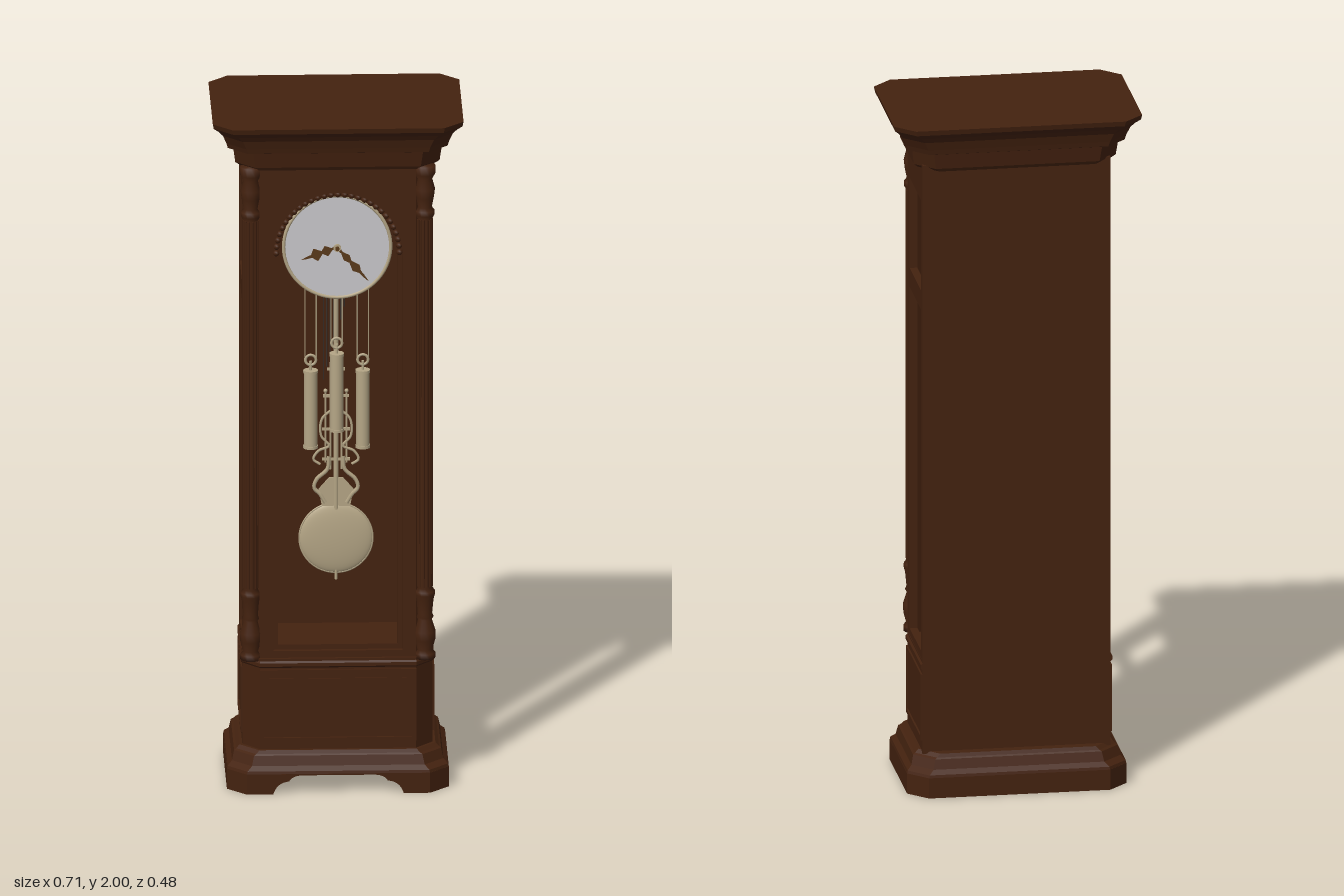
import * as THREE from 'three';

const mat = (name, color, side = THREE.FrontSide) => {
  const m = new THREE.MeshStandardMaterial({ color, side });
  m.name = name;
  return m;
};

export function createModel() {
  const wood = mat('dark wood', 0x44220f);
  const brass = mat('pale brass', 0xb5a686);
  const white = mat('dial white', 0xc9c8cc);
  const bronze = mat('hand bronze', 0x5a3a1a);
  const steel = mat('dark steel', 0x3a302a);

  const model = new THREE.Group();
  model.name = 'longcaseClock';
  const add = (name, geo, m, x = 0, y = 0, z = 0, parent = model) => {
    const mesh = new THREE.Mesh(geo, m);
    mesh.name = name;
    mesh.position.set(x, y, z);
    parent.add(mesh);
    return mesh;
  };
  const box = (name, m, w, h, d, x, y, z) => add(name, new THREE.BoxGeometry(w, h, d), m, x, y, z);
  const rod = (name, m, r, y0, y1, x, z, seg = 8) =>
    add(name, new THREE.CylinderGeometry(r, r, y1 - y0, seg), m, x, (y0 + y1) / 2, z);
  const extrude = (shape, depth) => new THREE.ExtrudeGeometry(shape, { depth, bevelEnabled: false, curveSegments: 24 });
  const poly = pts => new THREE.Shape(pts.map(p => new THREE.Vector2(...p)));
  const rect = (x0, y0, x1, y1) => poly([[x0, y0], [x1, y0], [x1, y1], [x0, y1]]);
  const tube = (name, m, pts, r, seg = 24) => add(name, new THREE.TubeGeometry(
    new THREE.CatmullRomCurve3(pts.map(p => new THREE.Vector3(...p))), seg, r, 6), m);

  // Flat-faced loft through stacked convex outlines: [[y, [[x, z], ...]], ...]
  const loft = rings => {
    const v = [];
    const put = (y, p) => v.push(p[0], y, p[1]);
    const n = rings[0][1].length;
    for (let k = 0; k < rings.length - 1; k++) {
      const [y0, a] = rings[k], [y1, b] = rings[k + 1];
      for (let i = 0; i < n; i++) {
        const j = (i + 1) % n;
        put(y0, a[i]); put(y0, a[j]); put(y1, b[j]);
        put(y0, a[i]); put(y1, b[j]); put(y1, b[i]);
      }
    }
    const [yb, bot] = rings[0], [yt, top] = rings[rings.length - 1];
    for (let i = 1; i < n - 1; i++) {
      put(yb, bot[0]); put(yb, bot[i + 1]); put(yb, bot[i]);
      put(yt, top[0]); put(yt, top[i]); put(yt, top[i + 1]);
    }
    const g = new THREE.BufferGeometry();
    g.setAttribute('position', new THREE.Float32BufferAttribute(v, 3));
    g.computeVertexNormals();
    return g;
  };
  const oct = (hx, hz, c) => [[-hx + c, hz], [hx - c, hz], [hx, hz - c], [hx, -hz + c],
    [hx - c, -hz], [-hx + c, -hz], [-hx, -hz + c], [-hx, hz - c]];
  const mould = steps => loft(steps.map(([y, hx, hz]) => [y, oct(hx, hz, 0.055)]));

  // Crown and base mouldings
  add('crown', mould([[1.855, 0.278, 0.172], [1.865, 0.29, 0.178], [1.91, 0.296, 0.186], [1.915, 0.312, 0.2],
    [1.93, 0.316, 0.204], [1.955, 0.326, 0.212], [1.97, 0.338, 0.222], [1.985, 0.353, 0.238], [2, 0.356, 0.242]]), wood);
  add('baseMoulding', mould([[0.058, 0.315, 0.215], [0.068, 0.313, 0.213], [0.08, 0.3, 0.2],
    [0.108, 0.294, 0.192], [0.112, 0.288, 0.188], [0.122, 0.278, 0.184]]), wood);

  // Skirt: a U round the sides and back, plus a cut bracket front
  const half = [[0.26, 0.215], [0.315, 0.16], [0.315, -0.16], [0.26, -0.215]];
  const inner = [[0.25, -0.195], [0.293, -0.15], [0.293, 0.15], [0.26, 0.19]];
  const flip = a => a.map(([x, z]) => [-x, z]).reverse();
  const skirt = extrude(poly([...half, ...flip(half), ...flip(inner), ...inner].map(([x, z]) => [x, -z])), 0.06);
  add('skirt', skirt.rotateX(-Math.PI / 2), wood);
  const bracket = new THREE.Shape();
  bracket.moveTo(-0.26, 0);
  bracket.lineTo(-0.185, 0);
  bracket.quadraticCurveTo(-0.175, 0.035, -0.14, 0.038);
  bracket.quadraticCurveTo(-0.13, 0.056, -0.1, 0.056);
  bracket.lineTo(0.1, 0.056);
  bracket.quadraticCurveTo(0.13, 0.056, 0.14, 0.038);
  bracket.quadraticCurveTo(0.175, 0.035, 0.185, 0);
  bracket.lineTo(0.26, 0);
  bracket.lineTo(0.26, 0.06);
  bracket.lineTo(-0.26, 0.06);
  add('bracketFoot', extrude(bracket, 0.022), wood, 0, 0, 0.193);

  // Lower cabinet with framed panels
  const plan = (e = 0) => [[-0.222, 0.174 + e], [0.222, 0.174 + e], [0.27 + e, 0.122], [0.27 + e, -0.158],
    [-0.27 - e, -0.158], [-0.27 - e, 0.122]];
  add('lowerCabinet', loft([[0.115, plan()], [0.392, plan()]]), wood);
  add('cabinetLedge', loft([[0.365, plan()], [0.37, plan(0.005)], [0.38, plan(0.005)], [0.385, plan()]]), wood);
  const frame = (x0, y0, x1, y1, w) => {
    const s = rect(x0, y0, x1, y1);
    s.holes.push(rect(x0 + w, y0 + w, x1 - w, y1 - w));
    return s;
  };
  add('frontPanelFrame', extrude(frame(-0.222, 0.145, 0.222, 0.36, 0.012), 0.006), wood, 0, 0, 0.174);
  add('frontPanel', extrude(rect(-0.195, 0.172, 0.195, 0.333), 0.003), wood, 0, 0, 0.174);

  // Back, side frames with two windows, and side panel frames
  box('backPanel', wood, 0.54, 1.5, 0.018, 0, 1.12, -0.149);
  for (const s of [-1, 1]) {
    const side = rect(-0.125, 0.385, 0.158, 1.865);
    side.holes.push(rect(-0.085, 0.412, 0.118, 1.43), rect(-0.085, 1.487, 0.118, 1.757));
    add('sideFrame', extrude(side, 0.022).rotateY(Math.PI / 2), wood, s > 0 ? 0.247 : -0.269);
    const panel = extrude(frame(-0.118, 0.155, 0.155, 0.352, 0.01), 0.005).rotateY(Math.PI / 2);
    add('sidePanelFrame', panel, wood, s > 0 ? 0.27 : -0.275);
    // Corner post behind the column
    const post = [[0.2, 0.16], [0.222, 0.16], [0.262, 0.12], [0.25, 0.1], [0.2, 0.13]];
    add('cornerPost', loft([0.385, 1.865].map(y => [y, s > 0 ? post : flip(post)])), wood);
  }

  // Turned corner columns with capital, base and plain faceted shaft
  const profile = [[0, 0.385], [0.03, 0.385], [0.03, 0.4], [0.022, 0.41], [0.03, 0.44], [0.031, 0.465], [0.02, 0.5],
    [0.025, 0.508], [0.021, 0.518], [0.025, 0.56], [0.029, 0.575], [0.029, 0.585], [0.022, 0.595], [0.021, 1.7],
    [0.028, 1.712], [0.028, 1.725], [0.02, 1.735], [0.026, 1.765], [0.029, 1.79], [0.021, 1.82],
    [0.03, 1.835], [0.03, 1.86], [0, 1.86]].map(p => new THREE.Vector2(...p));
  for (const s of [-1, 1]) {
    add('cornerColumn', new THREE.LatheGeometry(profile, 16), wood, s * 0.247, 0, 0.15);
    for (let i = 0; i < 9; i++) {
      const a = i / 8 * Math.PI * 1.25 - Math.PI * 0.375;
      rod('columnReed', wood, 0.004, 0.6, 1.7, s * (0.247 + Math.sin(a) * 0.02), 0.15 + Math.cos(a) * 0.02, 6);
    }
  }

  // Arched front door, inner lip and beads round the arch
  const arch = (r, y0, C = THREE.Path) => {
    const p = new C();
    p.moveTo(-r, y0);
    p.lineTo(r, y0);
    p.lineTo(r, 1.6);
    p.absarc(0, 1.6, r, 0, Math.PI, false);
    p.lineTo(-r, y0);
    return p;
  };
  const door = rect(-0.222, 0.392, 0.222, 1.865);
  door.holes.push(arch(0.183, 0.412));
  add('doorFrame', extrude(door, 0.035), wood, 0, 0, 0.13);
  const lip = arch(0.184, 0.411, THREE.Shape);
  lip.holes.push(arch(0.169, 0.427));
  add('doorLip', extrude(lip, 0.02), wood, 0, 0, 0.132);
  for (let i = 0; i <= 28; i++) {
    const a = i / 28 * Math.PI;
    add('archBead', new THREE.SphereGeometry(0.009, 8, 6), wood, Math.cos(a) * 0.175, 1.6 + Math.sin(a) * 0.175, 0.152);
  }

  // Dial, bezel and movement
  const disc = (r, d) => new THREE.CylinderGeometry(r, r, d, 48).rotateX(Math.PI / 2);
  add('dialBack', disc(0.156, 0.008), brass, 0, 1.6, 0.092);
  add('dialFace', disc(0.15, 0.004), white, 0, 1.6, 0.097);
  add('bezel', new THREE.TorusGeometry(0.152, 0.005, 8, 64), brass, 0, 1.6, 0.098);
  box('movement', brass, 0.16, 0.145, 0.06, 0, 1.6, 0.058);
  rod('handArbor', bronze, 0.006, 0, 0.03, 0, 0).geometry.rotateX(Math.PI / 2);
  model.children[model.children.length - 1].position.set(0, 1.6, 0.108);
  add('handHub', disc(0.011, 0.006), brass, 0, 1.6, 0.111);

  // Pierced-style hands: tapering blade with leaf swellings
  const hand = (name, len, w, angle, z) => {
    const right = [[0.006, 0], [0.003, 0.15], [w, 0.3], [0.004, 0.42], [w * 1.2, 0.6], [0.004, 0.72], [0.003, 0.85]];
    const pts = [...right, [0, 1], ...flip(right)].map(([x, t]) => [x, t * len]);
    add(name, extrude(poly(pts), 0.003), bronze, 0, 1.6, z).rotation.z = angle;
  };
  hand('hourHand', 0.108, 0.016, 1.92, 0.103);
  hand('minuteHand', 0.135, 0.011, -2.42, 0.107);

  // Weights with pulleys and cables
  for (const [x, dy] of [[-0.074, 0], [0, 0.05], [0.074, 0]]) {
    rod('weight', brass, 0.019, 0.985 + dy, 1.215 + dy, x, 0.06, 24);
    for (const y of [0.985, 1.21]) rod('weightCap', brass, 0.021, y + dy, y + dy + 0.008, x, 0.06, 24);
    rod('weightHook', brass, 0.004, 1.2 + dy, 1.245 + dy, x, 0.06);
    add('pulley', new THREE.TorusGeometry(0.015, 0.004, 6, 20), brass, x, 1.248 + dy, 0.06);
    for (const s of [-1, 1]) rod('cable', brass, 0.002, 1.25 + dy, 1.54, x + s * 0.016, 0.06, 6);
  }

  // Pendulum: rod, lyre frame, scrolls and bob
  rod('pendulumRod', brass, 0.007, 0.78, 1.56, 0, 0);
  for (const s of [-1, 1]) {
    rod('lyreRod', brass, 0.003, 0.9, 1.22, s * 0.016, 0, 6);
    rod('lyreRod', brass, 0.003, 0.92, 1.13, s * 0.03, 0, 6);
    add('lyreFinial', new THREE.SphereGeometry(0.006, 10, 8), brass, s * 0.03, 1.135, 0);
    tube('lyreScroll', brass, [[s * 0.01, 1.08, 0], [s * 0.04, 1.05, 0], [s * 0.042, 1.0, 0], [s * 0.02, 0.97, 0],
      [s * 0.05, 0.955, 0], [s * 0.064, 0.93, 0], [s * 0.045, 0.915, 0]], 0.004, 40);
    tube('lowerScroll', brass, [[s * 0.02, 0.94, 0], [s * 0.025, 0.9, 0], [s * 0.055, 0.87, 0], [s * 0.062, 0.845, 0],
      [s * 0.045, 0.825, 0], [s * 0.03, 0.8, 0]], 0.006, 30);
  }
  for (const [y, w] of [[1.2, 0.05], [1.12, 0.075], [1.02, 0.08], [0.93, 0.08]])
    box('lyreCrossbar', brass, w, 0.008, 0.005, 0, y, 0);
  add('lyreBase', extrude(poly([[-0.04, 0.79], [0.04, 0.79], [0.05, 0.84], [0.02, 0.875], [-0.02, 0.875], [-0.05, 0.84]]), 0.005), brass, 0, 0, -0.0025);
  add('bob', new THREE.SphereGeometry(0.104, 40, 20).scale(1, 1, 0.15), brass, 0, 0.694, -0.003);
  add('bobRim', new THREE.TorusGeometry(0.104, 0.003, 6, 48), brass, 0, 0.694, -0.003);
  rod('bobTip', brass, 0.004, 0.57, 0.6, 0, 0);

  // Chime rods hanging from a bracket on the back
  box('chimeBoard', wood, 0.12, 0.255, 0.016, 0, 1.625, -0.108);
  box('boardSpacer', wood, 0.1, 0.1, 0.03, 0, 1.68, -0.128);
  box('chimeBlock', wood, 0.12, 0.03, 0.09, 0, 1.735, -0.06);
  for (let i = 0; i < 8; i++)
    rod('chimeRod', steel, 0.002, 1.16 + i * 0.035, 1.73, -0.035 + i * 0.01, -0.025 - (i % 4) * 0.013, 6);
  box('hammerBar', steel, 0.08, 0.006, 0.1, 0, 1.635, -0.02);
  box('hammerRest', steel, 0.06, 0.012, 0.04, 0, 1.605, 0.01);

  return model;
}
